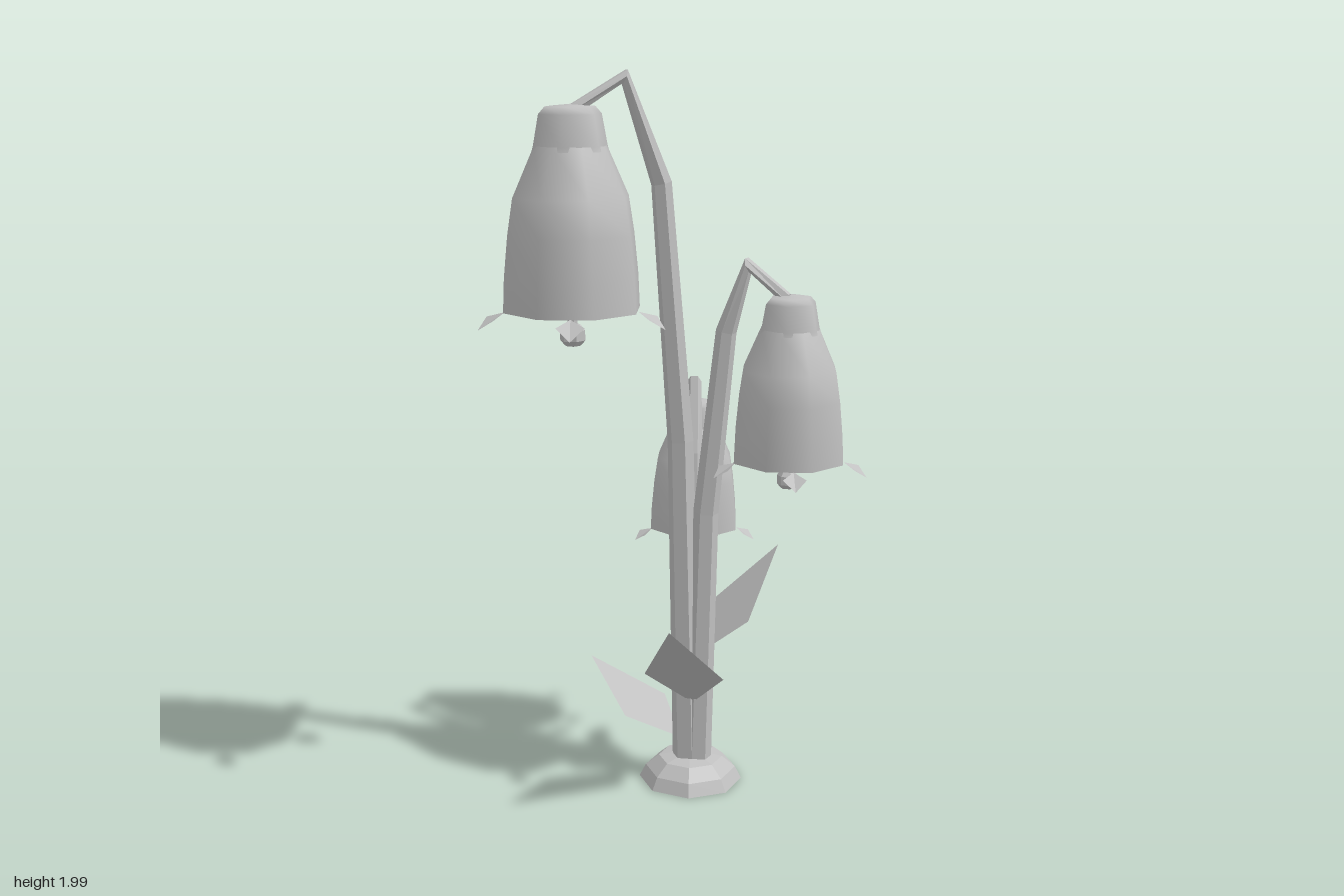
import * as THREE from 'three';

const grey = new THREE.MeshStandardMaterial({ color: 0xc0c0c0, side: THREE.DoubleSide });
grey.name = 'plainGrey';

function part(name, geometry, parent) {
  const mesh = new THREE.Mesh(geometry, grey);
  mesh.name = name;
  parent.add(mesh);
  return mesh;
}

// Split the faces so that each one is shaded flat
function faceted(geometry) {
  const g = geometry.index ? geometry.toNonIndexed() : geometry;
  g.computeVertexNormals();
  return g;
}

function polygons(points, faces) {
  const g = new THREE.BufferGeometry();
  g.setAttribute('position', new THREE.Float32BufferAttribute(points.flatMap(p => [p.x, p.y, p.z]), 3));
  g.setIndex(faces.flat());
  return faceted(g);
}

const lathe = (profile, sides, start = 0) =>
  new THREE.LatheGeometry(profile.map(p => new THREE.Vector2(...p)), sides, start);

// Tapered six-sided stalk with mitred bends; path rows are x, y, z, radius
function stalk(path) {
  const sides = 6, points = [], faces = [];
  const at = path.map(p => new THREE.Vector3(p[0], p[1], p[2]));
  const end = at[at.length - 1];
  // direction in which the stalk bends over, and the constant sideways axis
  const bend = new THREE.Vector3(end.x - at[0].x, 0, end.z - at[0].z).normalize();
  const side = new THREE.Vector3(-bend.z, 0, bend.x);
  path.forEach((p, i) => {
    const tangent = new THREE.Vector3();
    if (i > 0) tangent.add(at[i].clone().sub(at[i - 1]).normalize());
    if (i < at.length - 1) tangent.add(at[i + 1].clone().sub(at[i]).normalize());
    tangent.normalize();
    const out = side.clone().cross(tangent).normalize();
    for (let k = 0; k < sides; k++) {
      const a = k / sides * Math.PI * 2;
      points.push(at[i].clone()
        .addScaledVector(side, Math.cos(a) * p[3])
        .addScaledVector(out, Math.sin(a) * p[3]));
      if (i > 0) {
        const a0 = (i - 1) * sides + k, b0 = (i - 1) * sides + (k + 1) % sides;
        faces.push([a0, a0 + sides, b0], [b0, a0 + sides, b0 + sides]);
      }
    }
  });
  const last = (path.length - 1) * sides;
  for (let k = 1; k < sides - 1; k++) faces.push([last, last + k + 1, last + k]);
  // orient outwards
  return polygons(points, faces.map(([a, b, c]) => [a, c, b]));
}

// Kite-shaped leaf blade from base to tip
function leaf(base, tip, halfWidth) {
  const b = new THREE.Vector3(...base), t = new THREE.Vector3(...tip);
  const across = new THREE.Vector3(t.z - b.z, 0, b.x - t.x).setLength(halfWidth);
  const middle = b.clone().lerp(t, 0.39);
  return polygons([b, middle.clone().add(across), t, middle.clone().sub(across)], [[0, 1, 2], [0, 2, 3]]);
}

// Hanging bell flower with its origin at the top of the cap
function bellFlower() {
  const bell = new THREE.Group();
  part('bellCap', lathe([[0.104, -0.118], [0.1, -0.105], [0.085, -0.025], [0.068, -0.006], [0, 0]], 6, Math.PI / 2), bell);
  part('bellBody', lathe([[0.187, -0.53], [0.183, -0.44], [0.172, -0.33], [0.157, -0.235], [0.098, -0.105]], 8), bell);
  part('bellInside', lathe([[0.172, -0.465], [0.187, -0.53]], 8), bell);
  part('bellCeiling', faceted(lathe([[0, -0.465], [0.172, -0.465]], 8)), bell);

  // Clapper
  const rod = part('clapperRod', faceted(new THREE.CylinderGeometry(0.013, 0.013, 0.12, 6)), bell);
  rod.position.y = -0.52;
  const bob = part('clapperBob', faceted(lathe([[0, -0.032], [0.022, -0.028], [0.034, -0.014], [0.034, 0.014], [0.022, 0.028], [0, 0.03]], 6)), bell);
  bob.position.y = -0.597;

  // Five turned-out petal tips
  for (let i = 0; i < 5; i++) {
    const petal = part('petalTip', polygons([
      new THREE.Vector3(0.182, -0.527, 0),
      new THREE.Vector3(0.222, -0.542, 0.037),
      new THREE.Vector3(0.256, -0.572, 0),
      new THREE.Vector3(0.222, -0.542, -0.037),
    ], [[0, 1, 2], [0, 2, 3]]), bell);
    petal.rotation.y = Math.PI + i * Math.PI * 2 / 5;
  }
  return bell;
}

export function createModel() {
  const model = new THREE.Group();
  model.name = 'bellFlowerPlant';

  // Octagonal foot
  const foot = part('foot', faceted(lathe(
    [[0, 0], [0.146, 0], [0.128, 0.035], [0.09, 0.066], [0.05, 0.074], [0, 0.074]], 8, Math.PI / 8)), model);
  foot.position.set(0.115, 0, -0.008);

  // Stalks with their flowers
  const flowers = [
    { name: 'tall', scale: 1, top: [-0.222, 1.907, -0.01],
      path: [[0.105, 0.02, -0.005, 0.042], [0.08, 1.0, -0.005, 0.036], [0.024, 1.7, -0.005, 0.028],
        [-0.077, 1.975, -0.005, 0.02], [-0.215, 1.893, -0.008, 0.016]] },
    { name: 'middle', scale: 0.83, top: [0.307, 1.42, 0.207],
      path: [[0.13, 0.02, 0.01, 0.038], [0.143, 0.8, 0.028, 0.035], [0.182, 1.31, 0.068, 0.028],
        [0.224, 1.492, 0.116, 0.021], [0.3, 1.41, 0.197, 0.016]] },
    { name: 'short', scale: 0.71, top: [0.207, 1.06, -0.238],
      path: [[0.12, 0.02, -0.015, 0.036], [0.128, 0.6, -0.035, 0.032], [0.147, 0.94, -0.085, 0.026],
        [0.17, 1.133, -0.14, 0.02], [0.203, 1.052, -0.228, 0.015]] },
  ];
  for (const { name, scale, top, path } of flowers) {
    part(name + 'Stalk', stalk(path), model);
    const bell = bellFlower();
    bell.name = name + 'Flower';
    bell.scale.setScalar(scale);
    bell.position.set(...top);
    model.add(bell);
  }

  // Leaves
  part('frontLeaf', leaf([0.11, 0.24, 0.02], [-0.065, 0.57, 0.31], 0.11), model);
  part('leftLeaf', leaf([0.135, 0.37, -0.01], [0.4, 0.655, -0.06], 0.1), model);
  part('backLeaf', leaf([0.09, 0.12, -0.02], [-0.098, 0.3, -0.277], 0.1), model);

  return model;
}
